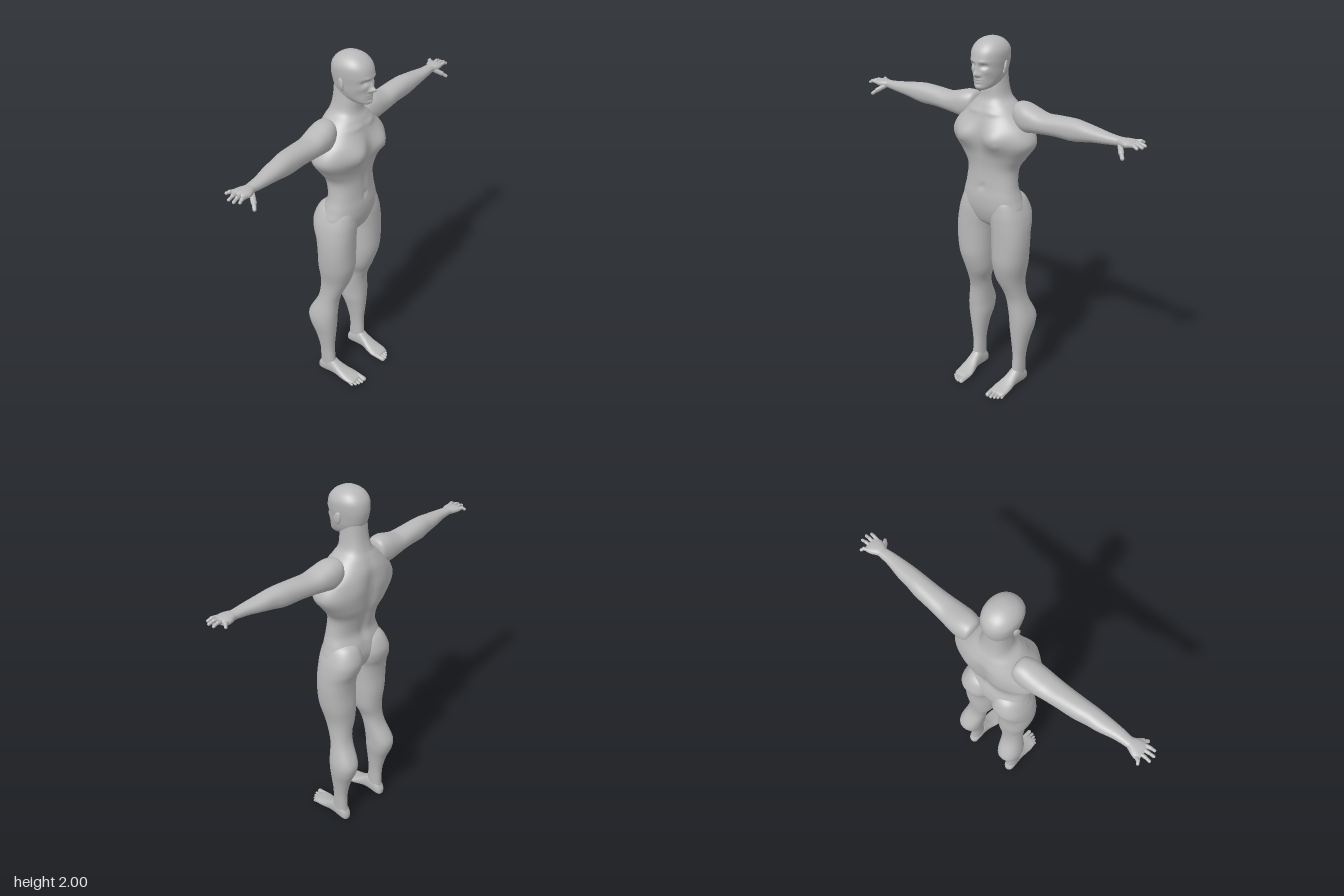
import * as THREE from 'three';

const skin = new THREE.MeshStandardMaterial({ color: 0xb8b8b8 });
skin.name = 'matte grey';

// Smooth loft through rows [t, centre, halfWidth, high, low]; map turns (t, u, v) into x, y, z
function loft(rows, map, around = 40, steps = 5, power = 0.88) {
  const pos = [], index = [];
  const at = (i) => rows[Math.max(0, Math.min(rows.length - 1, i))];
  const rings = (rows.length - 1) * steps + 1;
  const sp = (v) => Math.sign(v) * Math.abs(v) ** power;
  const ends = [];
  for (let k = 0; k < rings; k++) {
    const i = Math.min(Math.floor(k / steps), rows.length - 2), f = k / steps - i;
    const [t, c, r, hi, lo] = at(i).map((p1, j) => {
      const p0 = at(i - 1)[j], p2 = at(i + 1)[j], p3 = at(i + 2)[j];
      return p1 + 0.5 * f * (p2 - p0 + f * (2 * p0 - 5 * p1 + 4 * p2 - p3 + f * (3 * (p1 - p2) + p3 - p0)));
    });
    if (k === 0 || k === rings - 1) ends.push(map(t, c, (hi + lo) / 2));
    for (let a = 0; a < around; a++) {
      const th = (a / around) * Math.PI * 2;
      pos.push(...map(t, c + r * sp(Math.cos(th)), (hi + lo) / 2 + ((hi - lo) / 2) * sp(Math.sin(th))));
    }
  }
  for (let k = 0; k < rings - 1; k++) {
    for (let a = 0; a < around; a++) {
      const p = k * around + a, q = k * around + ((a + 1) % around);
      index.push(p, p + around, q, q, p + around, q + around);
    }
  }
  // End caps
  const base = rings * around, last = base - around;
  pos.push(...ends[0], ...ends[1]);
  for (let a = 0; a < around; a++) {
    const b = (a + 1) % around;
    index.push(base, a, b, base + 1, last + b, last + a);
  }
  const g = new THREE.BufferGeometry();
  g.setAttribute('position', new THREE.Float32BufferAttribute(pos, 3));
  g.setIndex(index);
  g.computeVertexNormals();
  return g;
}

// Soft bumps [x, y, spreadX, spreadY, amount] on the front (side 1) or back (side -1); x is mirrored
function sculpt(g, side, midZ, bumps) {
  const p = g.attributes.position;
  for (let i = 0; i < p.count; i++) {
    const x = Math.abs(p.getX(i)), y = p.getY(i), z = p.getZ(i);
    const w = THREE.MathUtils.smoothstep(side * (z - midZ), 0, 0.06);
    let d = 0;
    for (const [bx, by, sx, sy, amt] of bumps) d += amt * Math.exp(-(((x - bx) / sx) ** 2) - ((y - by) / sy) ** 2);
    p.setZ(i, z + side * d * w);
  }
  g.computeVertexNormals();
  return g;
}

// Rounded rod between two points
function rod(a, b, r) {
  const A = new THREE.Vector3(...a), B = new THREE.Vector3(...b), d = B.clone().sub(A);
  const g = new THREE.CapsuleGeometry(r, d.length(), 6, 12);
  g.applyQuaternion(new THREE.Quaternion().setFromUnitVectors(new THREE.Vector3(0, 1, 0), d.clone().normalize()));
  A.add(B).multiplyScalar(0.5);
  return g.translate(A.x, A.y, A.z);
}

const ball = (x, y, z, rx, ry, rz) => new THREE.SphereGeometry(1, 20, 14).scale(rx, ry, rz).translate(x, y, z);

function mirrored(g) {
  const m = g.clone().scale(-1, 1, 1), ix = m.index.array;
  for (let i = 0; i < ix.length; i += 3) [ix[i + 1], ix[i + 2]] = [ix[i + 2], ix[i + 1]];
  m.computeVertexNormals();
  return m;
}

export function createModel() {
  const model = new THREE.Group();
  model.name = 'figure';
  const add = (name, g) => {
    const m = new THREE.Mesh(g, skin);
    m.name = name;
    model.add(m);
  };
  const pair = (name, g) => {
    add('left' + name, g);
    add('right' + name, mirrored(g));
  };
  const upright = (t, u, v) => [u, t, v];
  const sideways = (t, u, v) => [t, v, u];
  const forward = (t, u, v) => [u, v, t];

  // Torso and neck
  const torso = loft([
    [0.995, 0, 0.03, 0.03, -0.06], [1.03, 0, 0.12, 0.07, -0.09], [1.1, 0, 0.185, 0.095, -0.112],
    [1.17, 0, 0.172, 0.1, -0.105], [1.24, 0, 0.152, 0.092, -0.085], [1.33, 0, 0.147, 0.088, -0.105],
    [1.4, 0, 0.19, 0.095, -0.13], [1.48, 0, 0.246, 0.11, -0.14], [1.55, 0, 0.222, 0.11, -0.142],
    [1.61, 0, 0.165, 0.095, -0.14], [1.66, 0, 0.12, 0.075, -0.122], [1.7, 0, 0.08, 0.055, -0.103],
    [1.76, 0, 0.066, 0.05, -0.088], [1.84, 0, 0.06, 0.04, -0.08],
  ], upright, 72, 6);
  sculpt(torso, 1, 0, [
    [0.095, 1.51, 0.07, 0.06, 0.035], [0.112, 1.48, 0.01, 0.01, 0.006], [0, 1.5, 0.022, 0.09, -0.008],
    [0, 1.235, 0.012, 0.012, -0.012], [0, 1.33, 0.012, 0.07, -0.004], [0.06, 1.635, 0.05, 0.012, 0.006],
  ]);
  sculpt(torso, -1, -0.02, [[0, 1.4, 0.025, 0.2, -0.016], [0.09, 1.53, 0.05, 0.07, 0.008]]);
  add('torso', torso);

  // Head with a modelled face
  const head = loft([
    [1.752, 0, 0.022, 0.108, 0.04], [1.762, 0, 0.04, 0.117, 0.01], [1.785, 0, 0.058, 0.119, -0.05],
    [1.82, 0, 0.071, 0.12, -0.078], [1.86, 0, 0.078, 0.122, -0.091], [1.9, 0, 0.084, 0.125, -0.096],
    [1.94, 0, 0.084, 0.115, -0.09], [1.97, 0, 0.069, 0.092, -0.07], [1.989, 0, 0.045, 0.062, -0.042],
    [1.998, 0, 0.02, 0.034, -0.014], [2.0, 0, 0.003, 0.013, 0.007],
  ], upright, 96, 8, 0.92);
  sculpt(head, 1, 0.03, [
    [0, 1.832, 0.012, 0.013, 0.026], [0, 1.855, 0.009, 0.022, 0.012], [0.015, 1.828, 0.007, 0.008, 0.008],
    [0.033, 1.873, 0.017, 0.011, -0.015], [0.03, 1.893, 0.025, 0.008, 0.004], [0.045, 1.845, 0.016, 0.014, 0.004],
    [0, 1.805, 0.022, 0.005, 0.007], [0, 1.793, 0.019, 0.005, 0.006], [0, 1.799, 0.022, 0.002, -0.005],
    [0, 1.768, 0.02, 0.01, 0.006], [0.055, 1.805, 0.015, 0.025, -0.006],
  ]);
  add('head', head);
  pair('Eye', ball(0.032, 1.873, 0.091, 0.013, 0.009, 0.012));
  pair('Ear', ball(0, 0, 0, 0.008, 0.031, 0.018).rotateY(0.35).rotateX(-0.15).translate(0.087, 1.862, 0.006));
  pair('EarLobe', ball(0.084, 1.838, 0.013, 0.007, 0.012, 0.009));

  // Arms reaching straight out
  pair('Arm', loft([
    [0.125, -0.035, 0.02, 1.66, 1.61], [0.14, -0.035, 0.055, 1.688, 1.57], [0.19, -0.03, 0.069, 1.692, 1.545],
    [0.25, -0.026, 0.068, 1.676, 1.552], [0.31, -0.022, 0.063, 1.662, 1.56], [0.39, -0.02, 0.057, 1.667, 1.565],
    [0.48, -0.016, 0.053, 1.672, 1.565], [0.54, -0.01, 0.048, 1.668, 1.575], [0.6, -0.007, 0.044, 1.66, 1.587],
    [0.68, 0, 0.033, 1.651, 1.598], [0.74, 0, 0.027, 1.646, 1.605], [0.77, 0, 0.028, 1.645, 1.607],
  ], sideways));

  // Hands
  pair('Palm', loft([
    [0.73, 0, 0.022, 1.642, 1.608], [0.755, 0.002, 0.031, 1.646, 1.606], [0.785, 0, 0.043, 1.646, 1.608],
    [0.81, -0.004, 0.044, 1.643, 1.612], [0.825, -0.004, 0.035, 1.636, 1.616],
  ], sideways, 28));
  const fingers = [[0.032, 0.853, 0.04], [0.01, 0.866, 0.016], [-0.012, 0.864, -0.014], [-0.034, 0.832, -0.057]];
  for (const [z, tipX, tipZ] of fingers) {
    const mid = [(0.8 + tipX) / 2 + 0.008, 1.633, (z + tipZ) / 2];
    pair('FingerBase', rod([0.8, 1.629, z], mid, 0.0095));
    pair('FingerTip', rod(mid, [tipX, 1.626, tipZ], 0.0078));
  }
  pair('ThumbBase', rod([0.755, 1.618, 0.018], [0.785, 1.594, 0.055], 0.013));
  pair('ThumbTip', rod([0.785, 1.594, 0.055], [0.803, 1.577, 0.073], 0.0095));

  // Legs, from buttock to ankle
  pair('Leg', loft([
    [1.2, 0.09, 0.03, 0.04, -0.06], [1.17, 0.092, 0.072, 0.078, -0.112], [1.1, 0.1, 0.096, 0.092, -0.141],
    [1.04, 0.108, 0.102, 0.094, -0.134], [0.98, 0.116, 0.1, 0.094, -0.112], [0.9, 0.118, 0.099, 0.094, -0.104],
    [0.8, 0.114, 0.093, 0.09, -0.107], [0.7, 0.109, 0.077, 0.062, -0.102], [0.62, 0.123, 0.06, 0.028, -0.102],
    [0.55, 0.132, 0.059, 0.006, -0.118], [0.45, 0.146, 0.066, 0.0, -0.167], [0.38, 0.148, 0.063, -0.003, -0.16],
    [0.3, 0.148, 0.048, -0.008, -0.128], [0.2, 0.147, 0.034, -0.015, -0.104], [0.11, 0.146, 0.031, -0.01, -0.102],
    [0.06, 0.145, 0.03, 0.0, -0.105], [0.03, 0.145, 0.022, 0.0, -0.1],
  ].reverse(), upright, 44));

  // Feet
  pair('Foot', loft([
    [0.142, 0.132, 0.036, 0.026, 0.01], [0.125, 0.133, 0.047, 0.034, 0.006], [0.09, 0.134, 0.05, 0.045, 0.004],
    [0.05, 0.138, 0.044, 0.063, 0.006], [0.01, 0.142, 0.036, 0.09, 0.009], [-0.03, 0.144, 0.033, 0.115, 0.006],
    [-0.08, 0.145, 0.032, 0.1, 0.003], [-0.105, 0.145, 0.026, 0.07, 0.005], [-0.117, 0.145, 0.012, 0.045, 0.015],
  ], forward, 32));
  for (let i = 0; i < 5; i++) {
    const x = [0.098, 0.121, 0.14, 0.157, 0.172][i], tip = [0.166, 0.168, 0.16, 0.149, 0.134][i];
    const r = i ? 0.0095 - i * 0.0005 : 0.0135;
    pair('Toe', rod([x, 0.021, 0.112 - i * 0.006], [x + 0.002, r + 0.001, tip], r));
  }
  return model;
}
